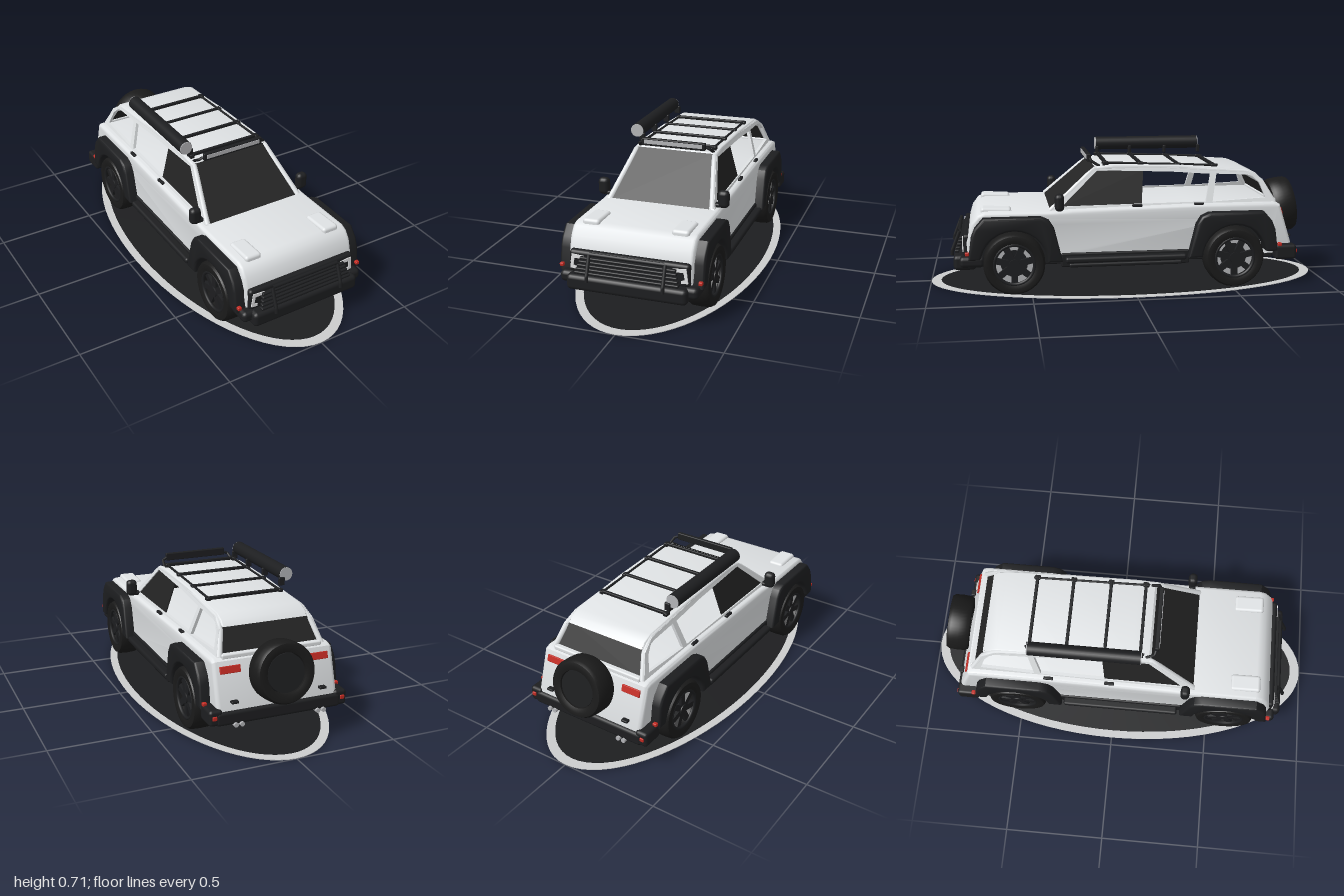
import * as THREE from 'three';
import { toCreasedNormals } from 'three/addons/utils/BufferGeometryUtils.js';
import { RoundedBoxGeometry } from 'three/addons/geometries/RoundedBoxGeometry.js';

const mat = (name, color, extra = {}) => {
  const m = new THREE.MeshStandardMaterial({ color, ...extra });
  m.name = name;
  return m;
};
const paint = mat('silver white paint', 0xdfe2e4);
const plastic = mat('black plastic', 0x1d1e20);
const rubber = mat('tyre rubber', 0x1a1a1a);
const glass = mat('tinted glass', 0x232323, { side: THREE.DoubleSide });
const red = mat('red lamp', 0xc22a22);
const grey = mat('light grey metal', 0xb4b5b8);
const rimGap = mat('lamp white', 0xe8e9ea);
const standRim = mat('stand silver', 0xcbcccd);

const FRONT = 0.583, REAR = -0.51, AXLE = 0.152;
const SIDES = [1, -1];
const tumble = y => 0.272 - (y - 0.41) * 0.3;      // half width of the cabin at height y

export function createModel() {
  const model = new THREE.Group();
  const add = (name, geo, material, x = 0, y = 0, z = 0, parent = model) => {
    const m = new THREE.Mesh(geo, material);
    m.name = name;
    m.position.set(x, y, z);
    parent.add(m);
    return m;
  };
  const box = (name, material, w, h, d, x, y, z, r = 0.008) =>
    add(name, new RoundedBoxGeometry(w, h, d, 2, Math.min(r, w / 2.1, h / 2.1, d / 2.1)), material, x, y, z);
  const rod = (name, material, r, pts, closed = false) => {
    const path = new THREE.CurvePath();
    const v = pts.map(p => new THREE.Vector3(...p));
    for (let i = 1; i < v.length; i++) path.add(new THREE.LineCurve3(v[i - 1], v[i]));
    return add(name, new THREE.TubeGeometry(path, (v.length - 1) * 6, r, 8, closed), material);
  };
  const poly = pts => new THREE.Shape(pts.map(p => new THREE.Vector2(...p)));
  // Side profile given as (z, y), extruded across x from x0 to x1
  const profile = (shape, x0, x1, bevel) => {
    const g = new THREE.ExtrudeGeometry(shape, {
      depth: x1 - x0 - 2 * bevel, bevelEnabled: bevel > 0, bevelThickness: bevel,
      bevelSize: bevel, bevelOffset: -bevel, bevelSegments: 3, curveSegments: 20,
    });
    g.rotateY(-Math.PI / 2);
    g.translate(x1 - bevel, 0, 0);
    return toCreasedNormals(g, 0.6);
  };
  // Thin panel leaning inward with the cabin sides
  const leaning = (shape, t, s, inset = 0) => {
    const g = profile(shape, 0, t, 0), p = g.attributes.position;
    for (let i = 0; i < p.count; i++) {
      const w = tumble(p.getY(i)) - inset;
      p.setX(i, s > 0 ? w - t + p.getX(i) : p.getX(i) - w);
    }
    g.computeVertexNormals();
    return g;
  };
  const quad = (w0, y0, z0, w1, y1, z1) => {
    const g = new THREE.BufferGeometry();
    g.setAttribute('position', new THREE.Float32BufferAttribute(
      [-w0, y0, z0, w0, y0, z0, w1, y1, z1, -w1, y1, z1], 3));
    g.setIndex([0, 1, 2, 0, 2, 3]);
    g.computeVertexNormals();
    return g;
  };

  // Oval stand
  add('standRim', new THREE.CylinderGeometry(1, 1, 0.003, 72).scale(0.46, 1, 1), standRim, 0, 0.002, 0);
  add('standTop', new THREE.CylinderGeometry(1, 1, 0.003, 72).scale(0.42, 1, 0.95), plastic, 0, 0.004, 0);

  // Lower body with wheel arches
  const body = new THREE.Shape();
  body.moveTo(-0.815, 0.155);
  for (const z of [REAR, FRONT]) {
    body.lineTo(z - 0.17, 0.155);
    body.absarc(z, 0.155, 0.17, Math.PI, 0, true);
  }
  [[0.805, 0.155], [0.812, 0.26], [0.785, 0.35], [0.755, 0.39], [0.72, 0.405], [0.4, 0.402], [0.3, 0.408],
    [-0.3, 0.42], [-0.72, 0.42], [-0.75, 0.408], [-0.815, 0.2]].forEach(p => body.lineTo(...p));
  add('body', profile(body, -0.3, 0.3, 0.018), paint);
  box('underbody', plastic, 0.44, 0.24, 1.5, 0, 0.24, 0.01);
  for (const s of SIDES)
    box('hoodBump', paint, 0.085, 0.04, 0.15, s * 0.216, 0.398, 0.665, 0.015).rotation.x = -0.04;

  // Cabin sides, pillars and door glass
  const side = poly([[0.41, 0.4], [0.18, 0.6], [-0.1, 0.605], [-0.6, 0.57], [-0.67, 0.53], [-0.73, 0.41]]);
  side.holes.push(
    poly([[0.345, 0.42], [-0.375, 0.428], [-0.405, 0.56], [-0.2, 0.575], [0.165, 0.588]]),
    poly([[-0.408, 0.426], [-0.68, 0.44], [-0.655, 0.51], [-0.62, 0.547], [-0.59, 0.553], [-0.435, 0.56]]));
  const doorGlass = poly([[0.35, 0.415], [0.168, 0.59], [-0.065, 0.584], [-0.05, 0.415]]);
  for (const s of SIDES) {
    add('cabinSide', leaning(side, 0.016, s), paint);
    add('frontDoorGlass', leaning(doorGlass, 0.006, s, 0.006), glass);
    const edge = [[0.4, 0.4], [0.18, 0.592], [-0.1, 0.597], [-0.59, 0.564], [-0.66, 0.525], [-0.725, 0.415]];
    rod('pillar', paint, 0.014, edge.map(([z, y]) => [s * (tumble(y) - 0.014), y, z]));
  }
  const roof = poly([[0.185, 0.588], [0.165, 0.606], [0.08, 0.614], [-0.25, 0.605], [-0.59, 0.58], [-0.64, 0.56],
    [-0.665, 0.535], [-0.64, 0.535], [-0.59, 0.556], [-0.25, 0.58], [0.08, 0.588]]);
  add('roof', profile(roof, -0.216, 0.216, 0.009), paint);
  add('windshield', quad(0.247, 0.4, 0.404, 0.198, 0.604, 0.176), glass);
  add('rearGlass', quad(0.245, 0.42, -0.722, 0.21, 0.545, -0.655), glass);
  box('rearSill', paint, 0.5, 0.025, 0.03, 0, 0.42, -0.725);

  // Flares, side steps, mirrors and handles
  for (const s of SIDES) {
    for (const [z, d] of [[FRONT, 1], [REAR, -1]]) {
      const pts = [[0.22, 0.18], [0.205, 0.29], [0.187, 0.335], [0.145, 0.383], [-0.13, 0.383], [-0.17, 0.365],
        [-0.195, 0.325], [-0.235, 0.16], [-0.163, 0.16]];
      for (let i = 1; i < 14; i++) {
        const a = Math.PI - i * Math.PI / 14;
        pts.push([0.163 * Math.cos(a), 0.155 + 0.163 * Math.sin(a)]);
      }
      pts.push([0.163, 0.18]);
      const f = poly(pts.map(([a, y]) => [z + a * d, y]));
      add('fenderFlare', s > 0 ? profile(f, 0.25, 0.35, 0.012) : profile(f, -0.35, -0.25, 0.012), plastic);
    }
    box('sill', plastic, 0.1, 0.07, 0.64, s * 0.26, 0.16, 0.035);
    box('sideStep', plastic, 0.055, 0.03, 0.6, s * 0.318, 0.165, 0.035, 0.012);
    box('stepRail', plastic, 0.03, 0.02, 0.56, s * 0.31, 0.135, 0.035);
    box('mirror', plastic, 0.056, 0.085, 0.045, s * 0.307, 0.447, 0.36, 0.02);
    box('mirrorArm', plastic, 0.07, 0.02, 0.035, s * 0.28, 0.415, 0.36);
    for (const z of [-0.025, -0.335]) box('doorHandle', plastic, 0.016, 0.014, 0.05, s * 0.285, 0.419, z, 0.004);
  }

  // Wheels
  const tyre = new THREE.LatheGeometry([[0.098, -0.05], [0.12, -0.058], [0.14, -0.055], [0.149, -0.04], [0.151, 0],
    [0.149, 0.04], [0.14, 0.055], [0.12, 0.058], [0.098, 0.05], [0.098, -0.05]].map(p => new THREE.Vector2(...p)), 48);
  const tyreGeo = toCreasedNormals(tyre, 0.7);
  const wheel = () => {
    const g = new THREE.Group();
    add('tyre', tyreGeo, rubber, 0, 0, 0, g);
    add('rimBack', new THREE.CylinderGeometry(0.099, 0.099, 0.01, 32), grey, 0, 0.005, 0, g);
    add('brakeDisc', new THREE.CylinderGeometry(0.066, 0.066, 0.01, 24), plastic, 0, 0.012, 0, g);
    add('hub', new THREE.CylinderGeometry(0.026, 0.03, 0.036, 20), plastic, 0, 0.032, 0, g);
    const lip = add('rimLip', new THREE.TorusGeometry(0.098, 0.009, 8, 40), plastic, 0, 0.045, 0, g);
    lip.rotation.x = Math.PI / 2;
    for (let i = 0; i < 7; i++) {
      const spoke = new THREE.Group();
      spoke.rotation.y = i * Math.PI * 2 / 7;
      add('spoke', new THREE.BoxGeometry(0.085, 0.018, 0.03), plastic, 0.058, 0.036, 0, spoke);
      g.add(spoke);
    }
    return g;
  };
  for (const s of SIDES) for (const z of [FRONT, REAR]) {
    const w = wheel();
    w.name = 'wheel';
    w.position.set(s * 0.29, AXLE, z);
    w.rotation.z = -s * Math.PI / 2;
    model.add(w);
  }
  for (const z of [FRONT, REAR]) box('axle', plastic, 0.5, 0.04, 0.04, 0, AXLE, z);

  // Spare wheel on the tailgate
  const spare = new THREE.Group();
  spare.name = 'spareWheel';
  add('spareTyre', tyreGeo, rubber, 0, 0, 0, spare).scale.set(0.96, 1, 0.96);
  add('spareCover', new THREE.CylinderGeometry(0.09, 0.097, 0.09, 32), plastic, 0, 0, 0, spare);
  spare.position.set(0, 0.355, -0.835);
  spare.rotation.x = -Math.PI / 2 + 0.15;
  model.add(spare);

  // Front end: fascia, lamps, grille, bumper and bull bar
  box('fascia', plastic, 0.58, 0.11, 0.06, 0, 0.243, 0.797, 0.015);
  for (const s of SIDES) {
    const lamp = poly([[0.195, 0.275], [0.275, 0.282], [0.283, 0.212], [0.25, 0.208], [0.25, 0.222], [0.268, 0.226],
      [0.262, 0.262], [0.195, 0.262]].map(([x, y]) => [s * x, y]));
    add('headlamp', new THREE.ExtrudeGeometry(lamp, { depth: 0.006, bevelEnabled: false }), rimGap, 0, 0, 0.825);
    rod('bullBarPost', plastic, 0.009, [[s * 0.182, 0.175, 0.885], [s * 0.182, 0.2, 0.882], [s * 0.182, 0.295, 0.845]]);
    box('bumperWing', plastic, 0.075, 0.055, 0.12, s * 0.295, 0.168, 0.785, 0.02);
    box('frontMarker', red, 0.02, 0.018, 0.02, s * 0.335, 0.212, 0.808, 0.005);
  }
  for (let i = 0; i < 5; i++)
    box('grilleBar', plastic, 0.5 - 0.01 * i, 0.013, 0.022, 0, 0.208 + i * 0.0155, 0.858 - i * 0.006, 0.005);
  rod('bullBarTop', plastic, 0.009, [[-0.18, 0.297, 0.845], [0.18, 0.297, 0.845]]);
  box('frontBumper', plastic, 0.58, 0.075, 0.11, 0, 0.157, 0.82, 0.02);

  // Rear end: bumper, lamps and exhaust tips
  box('rearBumper', plastic, 0.62, 0.065, 0.1, 0, 0.163, -0.78, 0.015);
  for (const s of SIDES) {
    box('bumperCorner', plastic, 0.065, 0.075, 0.11, s * 0.312, 0.172, -0.772, 0.015);
    box('rearMarker', red, 0.022, 0.018, 0.02, s * 0.334, 0.212, -0.74, 0.005);
    box('bumperReflector', red, 0.022, 0.02, 0.012, s * 0.32, 0.175, -0.827, 0.004);
    box('tailLamp', red, 0.1, 0.034, 0.012, s * 0.22, 0.37, -0.763, 0.003).rotation.x = 0.3;
    for (const x of [0.19, 0.22])
      add('exhaustTip', new THREE.CylinderGeometry(0.011, 0.011, 0.05, 14).rotateX(Math.PI / 2), grey, s * x, 0.132, -0.815);
    box('towHook', plastic, 0.035, 0.012, 0.025, s * 0.22, 0.235, -0.815, 0.004);
  }

  // Roof rack with light bar and rolled awning
  const rackY = z => 0.622 + Math.min(0, (z - 0.08) * 0.045);
  for (const s of SIDES) {
    rod('rackRail', plastic, 0.006, [[s * 0.185, rackY(0.14), 0.14], [s * 0.185, rackY(-0.45), -0.45]]);
    rod('lightBarBracket', plastic, 0.007, [[s * 0.192, 0.605, 0.15], [s * 0.185, 0.63, 0.19], [s * 0.165, 0.64, 0.195]]);
  }
  for (const z of [0.12, -0.055, -0.245, -0.43]) {
    box('rackCrossbar', plastic, 0.38, 0.016, 0.016, 0, rackY(z), z, 0.004);
    for (const s of SIDES) box('rackFoot', plastic, 0.022, 0.03, 0.03, s * 0.188, rackY(z) - 0.008, z, 0.005);
    box('awningBracket', plastic, 0.03, 0.04, 0.016, -0.195, 0.64, z, 0.004);
  }
  box('lightBar', plastic, 0.33, 0.038, 0.02, 0, 0.643, 0.2, 0.004);
  add('lightBarLens', new THREE.BoxGeometry(0.3, 0.02, 0.004), grey, 0, 0.645, 0.211);
  add('awning', new THREE.CylinderGeometry(0.034, 0.034, 0.55, 28).rotateX(Math.PI / 2), plastic, -0.22, 0.672, -0.15);
  add('awningCaps', new THREE.CylinderGeometry(0.033, 0.033, 0.558, 28).rotateX(Math.PI / 2), grey, -0.22, 0.672, -0.15);
  return model;
}
